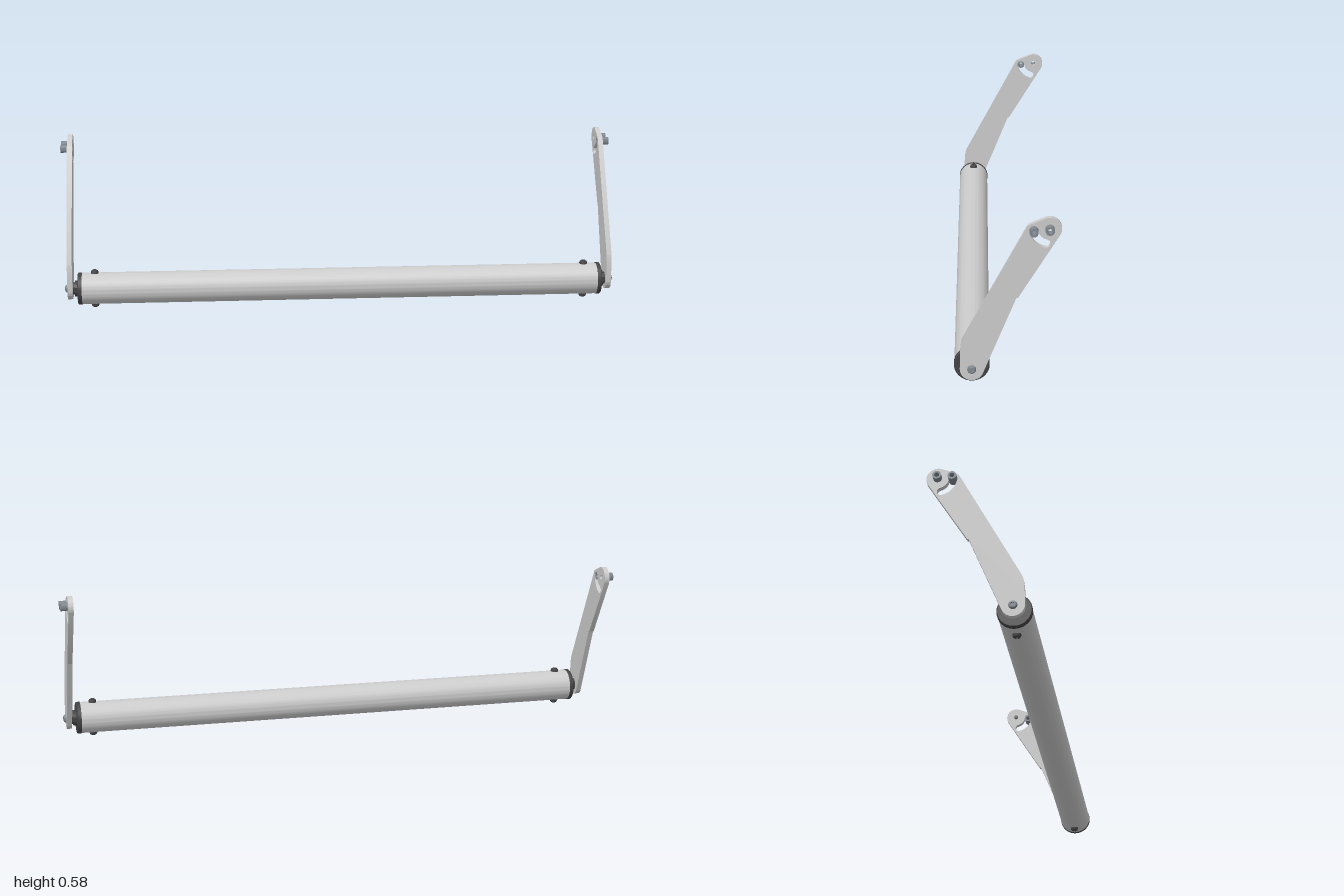
import * as THREE from 'three';
import { toCreasedNormals } from 'three/addons/utils/BufferGeometryUtils.js';

const AXIS = { y: 0.068, z: 0.1125 };      // roller axis
const PIVOT = { y: 0.542, z: -0.132 };     // upper pivot of each arm
const SLOT_R = 0.05, SLOT_START = -0.1, SLOT_END = -1.34;

const grey = new THREE.MeshStandardMaterial({ color: 0xcccccc });
const black = new THREE.MeshStandardMaterial({ color: 0x444444 });
const steel = new THREE.MeshStandardMaterial({ color: 0x808890 });

// Turned part: [radius, height] profile revolved about y
function turned(name, profile, material, segments = 40) {
  const pts = profile.map(([r, h]) => new THREE.Vector2(r, h));
  const geo = toCreasedNormals(new THREE.LatheGeometry(pts, segments), 0.6);
  const mesh = new THREE.Mesh(geo, material);
  mesh.name = name;
  return mesh;
}

// Button head screw with a recessed socket
function screw(name, r, h, material) {
  return turned(name, [[0, 0], [r, 0], [r, h * 0.35], [r * 0.85, h * 0.75], [r * 0.5, h],
    [r * 0.42, h], [r * 0.42, h * 0.4], [0, h * 0.4]], material, 24);
}

// Arm plate outline drawn in (z, y), with a pivot hole and a curved slot
function armGeometry(thickness) {
  const s = new THREE.Shape();
  s.absarc(AXIS.z, AXIS.y, 0.038, 3.56, Math.PI * 2, false);
  s.lineTo(0.15, 0.11);
  s.quadraticCurveTo(0.148, 0.155, 0.143, 0.168);
  s.absarc(-0.082, 0.535, 0.024, 0.45, 1.16, false);
  s.absarc(PIVOT.z, 0.541, 0.0375, 1.16, 3.72, false);
  s.lineTo(-0.033, 0.311);
  s.quadraticCurveTo(-0.03, 0.316, -0.026, 0.305);

  const hole = new THREE.Path();
  hole.absarc(PIVOT.z, PIVOT.y, 0.009, 0, Math.PI * 2, true);

  const w = 0.0135, slot = new THREE.Path();
  const at = a => [PIVOT.z + SLOT_R * Math.cos(a), PIVOT.y + SLOT_R * Math.sin(a)];
  slot.absarc(PIVOT.z, PIVOT.y, SLOT_R + w, SLOT_START, SLOT_END, true);
  slot.absarc(...at(SLOT_END), w, SLOT_END, SLOT_END - Math.PI, true);
  slot.absarc(PIVOT.z, PIVOT.y, SLOT_R - w, SLOT_END, SLOT_START, false);
  slot.absarc(...at(SLOT_START), w, SLOT_START + Math.PI, SLOT_START, true);
  s.holes.push(hole, slot);

  const geo = new THREE.ExtrudeGeometry(s, { depth: thickness, bevelEnabled: false, curveSegments: 20 });
  geo.translate(0, 0, -thickness / 2);
  geo.rotateY(-Math.PI / 2);
  return toCreasedNormals(geo, 0.5);
}

export function createModel() {
  const model = new THREE.Group();
  model.name = 'rollerWithArms';

  // Long roller tube
  const tube = turned('rollerTube', [[0, -0.93], [0.056, -0.93], [0.056, 0.93], [0, 0.93]], grey, 64);
  tube.rotation.z = -Math.PI / 2;
  tube.position.set(0, AXIS.y, AXIS.z);
  model.add(tube);

  const armGeo = armGeometry(0.018);
  for (const side of [1, -1]) {
    const end = new THREE.Group();
    end.name = side > 0 ? 'leftEnd' : 'rightEnd';
    model.add(end);

    // Places a turned part so that its axis points outwards along x
    const outward = (mesh, x, y, z) => {
      mesh.rotation.z = -side * Math.PI / 2;
      mesh.position.set(side * x, y, z);
      end.add(mesh);
    };

    // Arm plate
    const arm = new THREE.Mesh(armGeo, grey);
    arm.name = 'arm';
    arm.position.x = side * 0.967;
    end.add(arm);

    // End cap with its stepped hub, and the bolt through the arm
    outward(turned('endCap', [[0, 0], [0.0573, 0], [0.0573, 0.012], [0.054, 0.015], [0.028, 0.015],
      [0.028, 0.026], [0.022, 0.026], [0.022, 0.033], [0, 0.033]], black, 64), 0.925, AXIS.y, AXIS.z);
    outward(screw('armBolt', 0.0143, 0.01, steel), 0.976, AXIS.y, AXIS.z);

    // Hollow bushings at the pivot and at the start of the slot
    const ring = h => [[0.008, 0], [0.0143, 0], [0.0143, h], [0.008, h], [0.008, 0]];
    outward(turned('pivotBushing', ring(0.025), steel, 32), 0.975, PIVOT.y, PIVOT.z);
    outward(turned('slotBushing', ring(0.04), steel, 32), 0.96,
      PIVOT.y + SLOT_R * Math.sin(SLOT_START), PIVOT.z + SLOT_R * Math.cos(SLOT_START));

    // Cap screws above and below the tube
    for (const up of [1, -1]) {
      const s = screw('capScrew', 0.014, 0.013, black);
      if (up < 0) s.rotation.x = Math.PI;
      s.position.set(side * 0.88, AXIS.y + up * 0.055, AXIS.z);
      end.add(s);
    }
  }
  return model;
}
